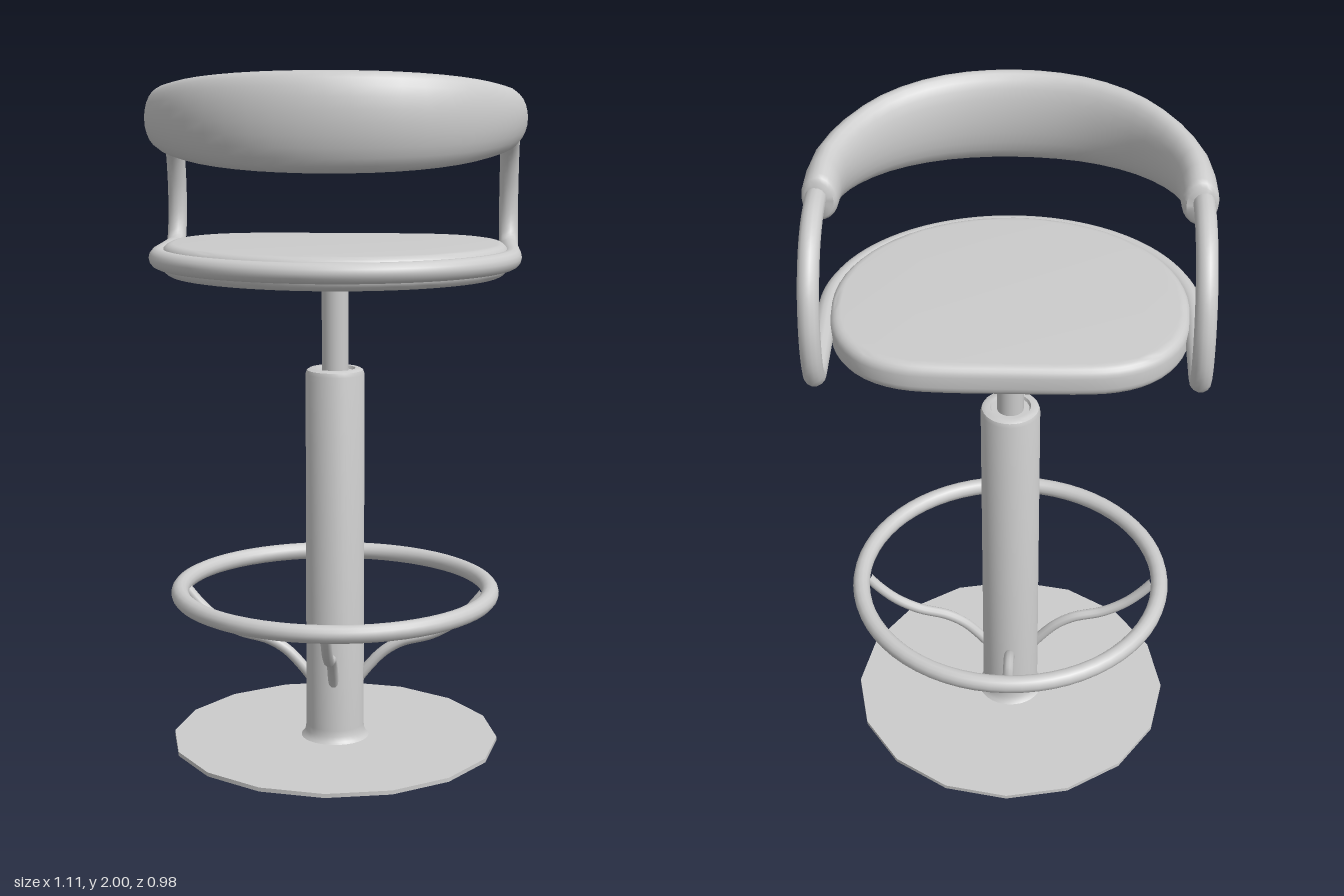
import * as THREE from 'three';
import { toCreasedNormals } from 'three/addons/utils/BufferGeometryUtils.js';

const material = new THREE.MeshStandardMaterial({ color: 0xcccccc });
const V3 = (x, y, z) => new THREE.Vector3(x, y, z);
const V2 = (x, y) => new THREE.Vector2(x, y);

function add(parent, name, geometry) {
  const mesh = new THREE.Mesh(geometry, material);
  mesh.name = name;
  parent.add(mesh);
  return mesh;
}

// Right half of a symmetric path, continued by its mirror image
const mirrored = (half) => [
  ...half,
  ...half.slice(0, -1).reverse().map((p) => V3(-p.x, p.y, p.z)),
];

// Padded backrest: an ellipse swept around an arc, taller toward the middle
function backrestGeometry() {
  const half = [[0.505, -0.08], [0.492, 0.066], [0.43, 0.2], [0.335, 0.307], [0.19, 0.386], [0, 0.415]];
  const path = new THREE.CatmullRomCurve3(mirrored(half.map(([x, z]) => V3(x, 1.865, z))));
  const start = [[0, 0], [0, 0.8], [0.005, 0.94], [0.014, 1]];
  const stations = [...start];
  for (let i = 1; i < 24; i++) stations.push([0.014 + (0.972 * i) / 24, 1]);
  stations.push(...start.slice().reverse().map(([u, s]) => [1 - u, s]));

  const sides = 24, positions = [], index = [];
  const up = V3(0, 1, 0);
  stations.forEach(([u, s], i) => {
    const c = path.getPointAt(u);
    const n = up.clone().cross(path.getTangentAt(u)).normalize();
    const height = 0.066 + 0.07 * ((c.z + 0.08) / 0.495);
    for (let j = 0; j < sides; j++) {
      const a = (j / sides) * Math.PI * 2;
      const p = c.clone().addScaledVector(n, 0.05 * s * Math.cos(a));
      positions.push(p.x, p.y + height * s * Math.sin(a), p.z);
      if (i === stations.length - 1) continue;
      const k = i * sides + j, l = i * sides + ((j + 1) % sides);
      index.push(k, l, k + sides, l, l + sides, k + sides);
    }
  });
  const geometry = new THREE.BufferGeometry();
  geometry.setAttribute('position', new THREE.Float32BufferAttribute(positions, 3));
  geometry.setIndex(index);
  return toCreasedNormals(geometry, 0.9);
}

// Seat cushion: round front, flattened back, soft edges
function seatGeometry() {
  const bevel = 0.03, rx = 0.502 - bevel, rz = 0.46 - bevel;
  const outline = [];
  for (let i = 0; i <= 32; i++) {
    const a = (i / 32) * Math.PI;
    outline.push(V2(rx * Math.cos(a), -rz * Math.sin(a)));
  }
  const back = new THREE.SplineCurve([
    [-rx, 0], [-0.465, 0.1], [-0.435, 0.185], [-0.375, 0.255], [-0.29, 0.295], [-0.18, 0.307],
    [0, 0.308], [0.18, 0.307], [0.29, 0.295], [0.375, 0.255], [0.435, 0.185], [0.465, 0.1], [rx, 0],
  ].map(([x, y]) => V2(x, y)));
  outline.push(...back.getPoints(36).slice(1, -1));
  const geometry = new THREE.ExtrudeGeometry(new THREE.Shape(outline), {
    depth: 0.033, bevelEnabled: true, bevelSize: bevel, bevelThickness: bevel, bevelSegments: 5,
  });
  geometry.rotateX(-Math.PI / 2).translate(0, 1.415 + bevel, 0);
  return toCreasedNormals(geometry, 0.7);
}

// Bent tube: arm, around the seat, other arm
function frameGeometry() {
  const half = [
    [1.868, -0.03], [1.874, -0.1], [1.868, -0.18], [1.832, -0.265], [1.755, -0.337], [1.66, -0.371],
    [1.58, -0.376], [1.525, -0.366], [1.485, -0.345], [1.468, -0.31], [1.467, -0.26], [1.467, -0.13],
  ].map(([y, z]) => V3(0.512, y, z));
  for (let i = 0; i <= 8; i++) {
    const a = (i / 16) * Math.PI;
    half.push(V3(0.512 * Math.cos(a), 1.467, 0.464 * Math.sin(a)));
  }
  return new THREE.TubeGeometry(new THREE.CatmullRomCurve3(mirrored(half)), 160, 0.029, 14);
}

export function createModel() {
  const model = new THREE.Group();
  model.name = 'barStool';

  // Floor plate
  const plate = new THREE.CylinderGeometry(0.49, 0.49, 0.012, 16);
  add(model, 'basePlate', plate.translate(0, 0.006, 0));

  // Column with a flared foot and bevelled, recessed top
  const profile = [
    [0.104, 0.01], [0.095, 0.018], [0.089, 0.032], [0.087, 0.05], [0.087, 1.122],
    [0.083, 1.134], [0.074, 1.139], [0.06, 1.139], [0.056, 1.13], [0.03, 1.13],
  ].map(([r, y]) => V2(r, y));
  add(model, 'column', toCreasedNormals(new THREE.LatheGeometry(profile, 32), 0.7));
  const rod = new THREE.CylinderGeometry(0.039, 0.039, 0.31, 24);
  add(model, 'liftRod', rod.translate(0, 1.275, 0));

  // Foot ring on four curved brackets
  const ring = new THREE.TorusGeometry(0.464, 0.026, 14, 64);
  add(model, 'footRing', ring.rotateX(Math.PI / 2).translate(0, 0.467, 0));
  const bend = new THREE.CatmullRomCurve3([
    [0.07, 0.19], [0.1, 0.228], [0.145, 0.275], [0.2, 0.308], [0.29, 0.333],
    [0.36, 0.372], [0.41, 0.418], [0.445, 0.46],
  ].map(([x, y]) => V3(x, y, 0)));
  const bracket = new THREE.TubeGeometry(bend, 28, 0.016, 10);
  for (let i = 0; i < 4; i++) add(model, 'footRingBracket', bracket).rotation.y = (i * Math.PI) / 2;

  // Seat, frame and backrest
  add(model, 'seat', seatGeometry());
  add(model, 'armFrame', frameGeometry());
  add(model, 'backrest', backrestGeometry());

  return model;
}
